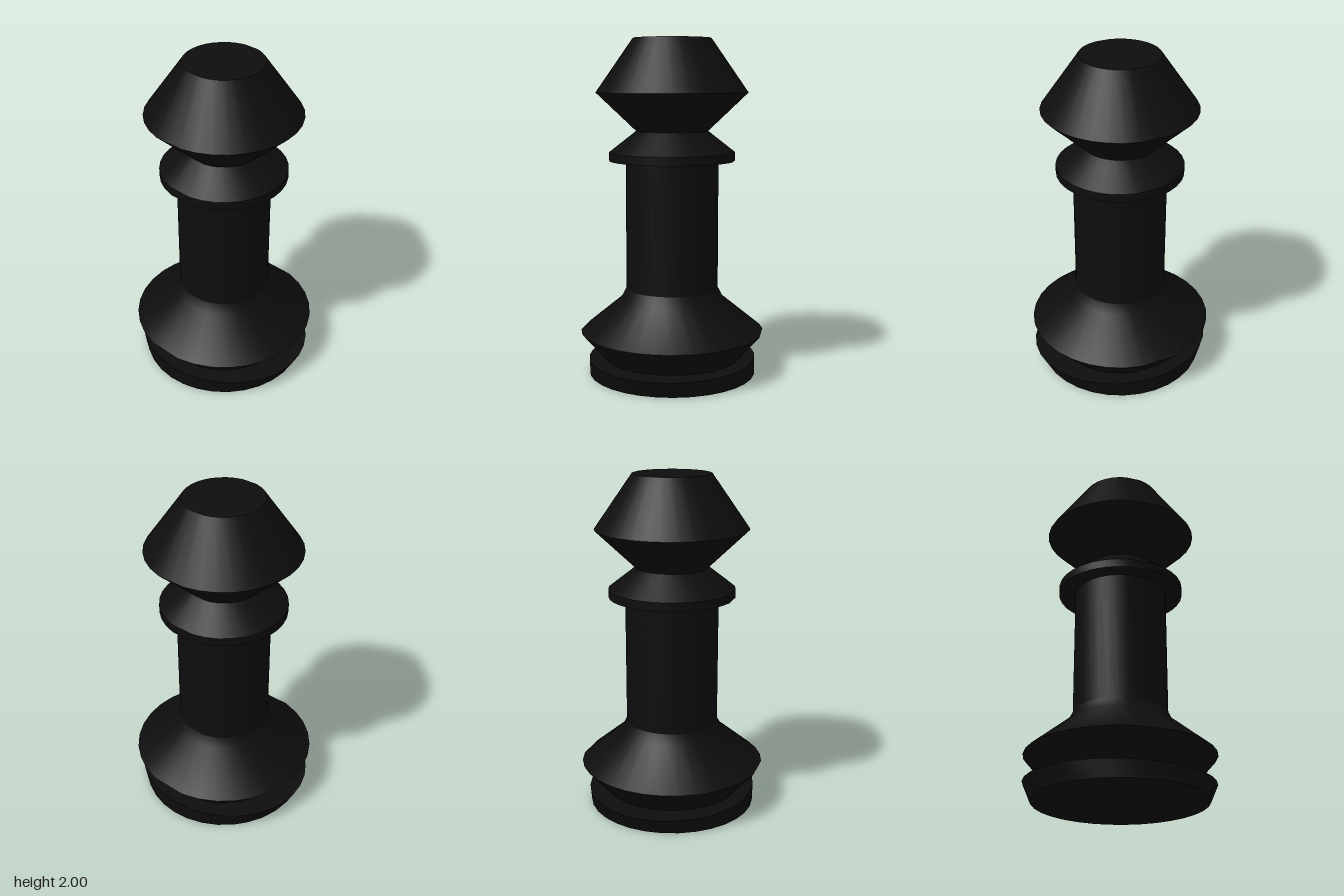
import * as THREE from 'three';
import { toCreasedNormals } from 'three/addons/utils/BufferGeometryUtils.js';

const SEGMENTS = 32;
const material = new THREE.MeshStandardMaterial({ color: 0x0d0d0d });

// Turned part from [radius, height] pairs, bottom to top; shape(v) adjusts each vertex
function turned(name, profile, shape) {
  const points = profile.map(([r, y]) => new THREE.Vector2(r, y));
  const geometry = new THREE.LatheGeometry(points, SEGMENTS);
  const position = geometry.attributes.position;
  const v = new THREE.Vector3();
  for (let i = 0; i < position.count; i++) {
    v.fromBufferAttribute(position, i);
    shape(v);
    position.setXYZ(i, v.x, v.y, v.z);
  }
  const mesh = new THREE.Mesh(toCreasedNormals(geometry, 0.5), material);
  mesh.name = name;
  return mesh;
}

// The front and back each have one wide flat facet
const flattenFrontAndBack = (v) => {
  if (Math.abs(v.x) < 1e-6) v.z *= Math.cos((2 * Math.PI) / SEGMENTS);
};

// The foot widens upwards to the sides only
const flareSideways = (v) => {
  if (v.y > 0.05) v.x *= 1.1;
};

export function createModel() {
  const group = new THREE.Group();
  group.name = 'chessPawn';
  group.add(
    turned('foot', [[0, 0], [0.5, 0], [0.5, 0.1], [0, 0.1]], flareSideways),
    turned('skirt', [[0.41, 0.1], [0.55, 0.26], [0.305, 0.46], [0.275, 0.52]], flattenFrontAndBack),
    turned('stem', [[0.275, 0.52], [0.275, 1.285]], flattenFrontAndBack),
    turned('collar', [[0.275, 1.285], [0.373, 1.285], [0.373, 1.335], [0.213, 1.46]], flattenFrontAndBack),
    turned('head', [[0.213, 1.46], [0.45, 1.685], [0.23, 2], [0, 2]], flattenFrontAndBack),
  );
  return group;
}
